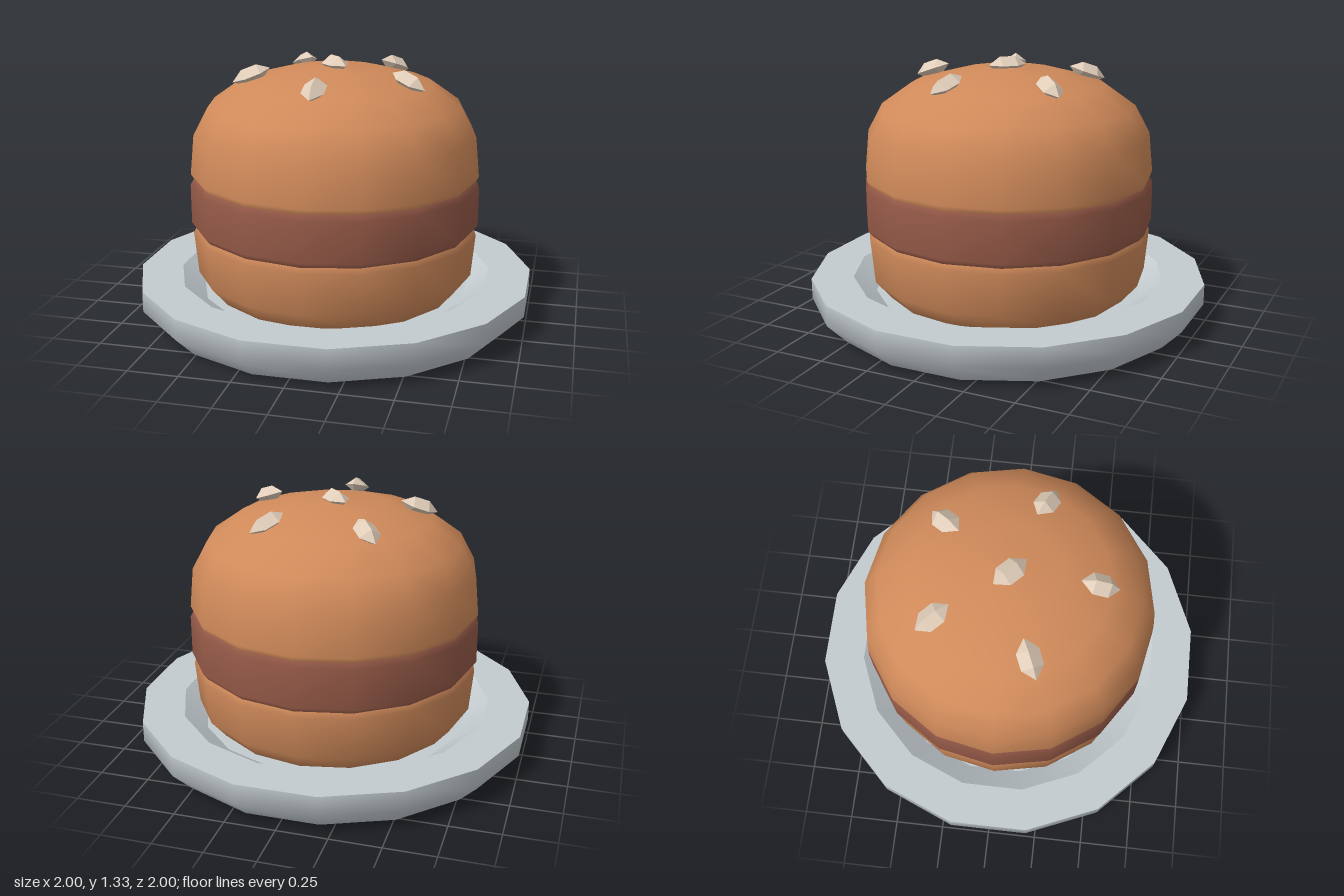
import * as THREE from 'three';
import { mergeGeometries } from 'three/addons/utils/BufferGeometryUtils.js';

const SIDES = 16;

const paint = (name, color) => {
  const m = new THREE.MeshStandardMaterial({ color });
  m.name = name;
  return m;
};

// Turned solid; each run of [radius, y] points is smooth, with a crease between runs
function turned(name, material, runs) {
  const parts = runs.map((run) =>
    new THREE.LatheGeometry(run.map(([r, y]) => new THREE.Vector2(r, y)), SIDES));
  const mesh = new THREE.Mesh(mergeGeometries(parts), material);
  mesh.name = name;
  return mesh;
}

export function createModel() {
  const model = new THREE.Group();
  model.name = 'burgerOnPlate';
  const ceramic = paint('plate grey', 0xc3cbcf);
  const bread = paint('bun brown', 0xd08a5a);
  const meat = paint('patty brown', 0x965a48);
  const sesame = paint('sesame cream', 0xe0cdb9);

  // Plate: base, flared side, flat rim, sloping well and floor
  const plate = turned('plate', ceramic, [
    [[0, 0], [0.918, 0]],
    [[0.918, 0], [1.0196, 0.105], [1.0196, 0.21]],
    [[1.0196, 0.21], [0.805, 0.21]],
    [[0.805, 0.21], [0.69, 0.13]],
    [[0.69, 0.13], [0, 0.13]],
  ]);
  plate.rotation.y = Math.PI / SIDES;
  model.add(plate);

  // Bottom bun
  model.add(turned('bottomBun', bread, [
    [[0, 0.13], [0.63, 0.13]],
    [[0.63, 0.13], [0.71, 0.225], [0.73, 0.44], [0.71, 0.475]],
    [[0.71, 0.475], [0, 0.475]],
  ]));

  // Patty
  model.add(turned('patty', meat, [
    [[0, 0.46], [0.71, 0.46]],
    [[0.71, 0.46], [0.738, 0.495], [0.738, 0.695], [0.715, 0.73]],
    [[0.715, 0.73], [0, 0.73]],
  ]));

  // Domed top bun
  model.add(turned('topBun', bread, [
    [[0, 0.715], [0.715, 0.715]],
    [[0.715, 0.715], [0.735, 0.75], [0.715, 0.95], [0.64, 1.09],
      [0.485, 1.2], [0.25, 1.263], [0, 1.28]],
  ]));

  // Faceted seed, long axis on z, ridge along the top
  const seedShape = new THREE.LatheGeometry(
    [[0, -0.1], [0.055, -0.04], [0.055, 0.04], [0, 0.1]].map(([r, y]) => new THREE.Vector2(r, y)), 4);
  seedShape.rotateX(Math.PI / 2);
  seedShape.scale(1, 0.75, 1);
  const seedGeometry = seedShape.toNonIndexed();
  seedGeometry.computeVertexNormals();

  // Seeds: x, y, z and heading of the long axis (x, z)
  const seeds = [
    [0, 1.29, 0.005, 1, 1],
    [-0.245, 1.24, -0.33, 0.13, 0.16],
    [0.245, 1.24, -0.33, -0.13, 0.16],
    [-0.395, 1.24, 0.14, -0.18, 0.08],
    [0.395, 1.24, 0.14, 0.18, 0.08],
    [0, 1.24, 0.43, 0, 1],
  ];
  const group = new THREE.Group();
  group.name = 'sesameSeeds';
  for (const [x, y, z, dx, dz] of seeds) {
    const r = Math.hypot(x, z);
    const slope = r > 0.1 ? 0.36 / r : 0;
    const up = new THREE.Vector3(x * slope, 1, z * slope).normalize();
    const along = new THREE.Vector3(dx, 0, dz);
    along.addScaledVector(up, -along.dot(up)).normalize();
    const side = new THREE.Vector3().crossVectors(up, along);
    const seed = new THREE.Mesh(seedGeometry, sesame);
    seed.name = 'seed';
    seed.quaternion.setFromRotationMatrix(new THREE.Matrix4().makeBasis(side, up, along));
    seed.position.set(x, y, z);
    group.add(seed);
  }
  model.add(group);
  return model;
}
